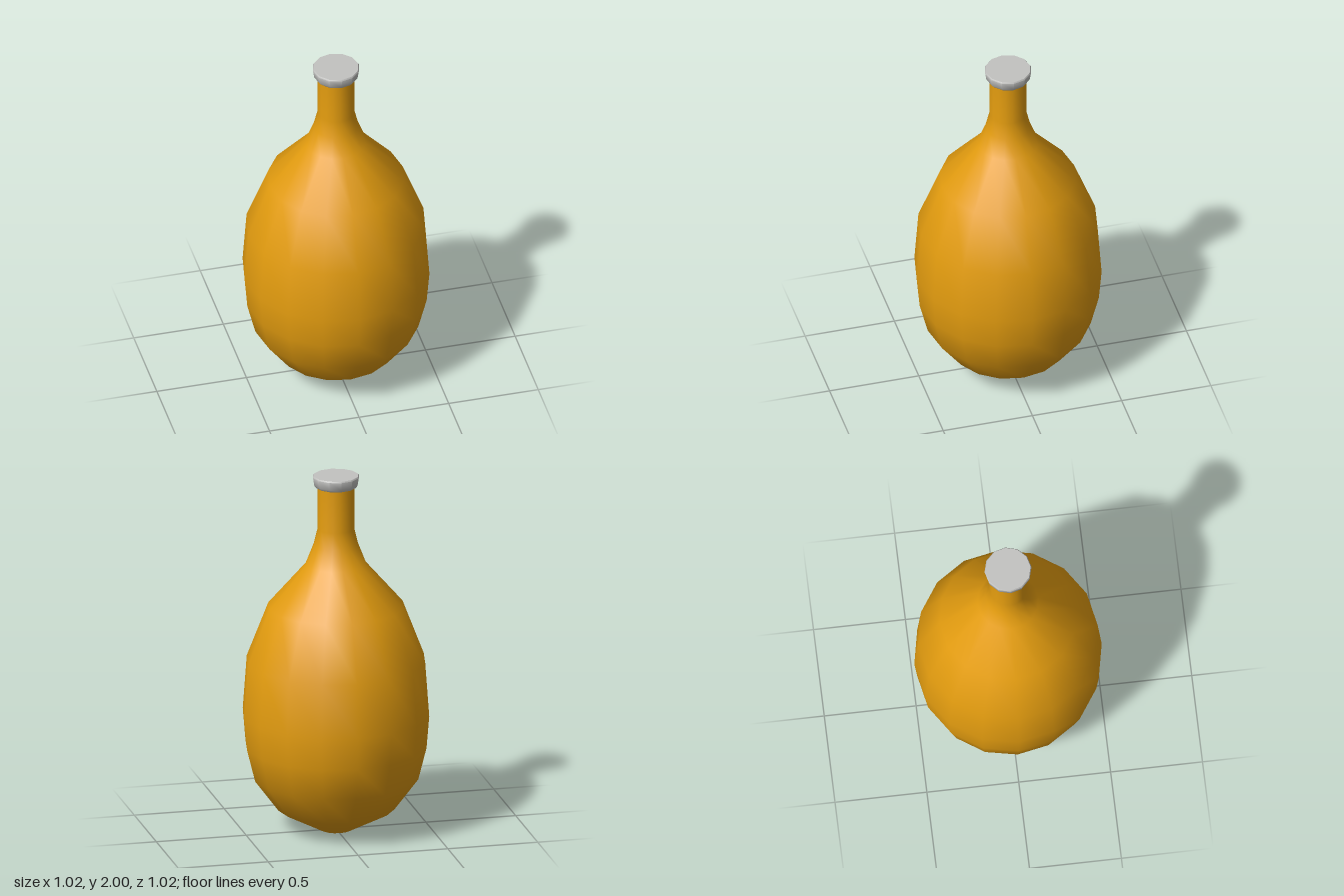
import * as THREE from 'three';
import { toCreasedNormals } from 'three/addons/utils/BufferGeometryUtils.js';

const amber = new THREE.MeshStandardMaterial({ color: 0xe39c0f });
amber.name = 'amber glass';
const grey = new THREE.MeshStandardMaterial({ color: 0xc2c2c0 });
grey.name = 'grey cap';

// Revolve a [radius, height] profile, listed from bottom to top
function lathe(name, profile, sides, material) {
  const points = profile.map(([r, y]) => new THREE.Vector2(r, y));
  const mesh = new THREE.Mesh(new THREE.LatheGeometry(points, sides), material);
  mesh.name = name;
  return mesh;
}

export function createModel() {
  const bottle = new THREE.Group();
  bottle.name = 'bottle';

  // Rounded belly, sloping shoulder and straight neck
  const body = lathe('body', [
    [0, 0], [0.085, 0], [0.32, 0.125], [0.45, 0.3], [0.495, 0.48],
    [0.51, 0.66], [0.488, 0.96], [0.37, 1.265], [0.165, 1.5],
    [0.122, 1.61], [0.1, 1.7], [0.1, 1.95],
  ], 16, amber);

  // Flat cap, flaring slightly and chamfered at both rims
  const cap = lathe('cap', [
    [0, 1.936], [0.11, 1.936], [0.121, 1.95], [0.128, 1.993], [0.123, 2], [0, 2],
  ], 12, grey);
  cap.geometry = toCreasedNormals(cap.geometry, 0.9);

  bottle.add(body, cap);
  return bottle;
}
